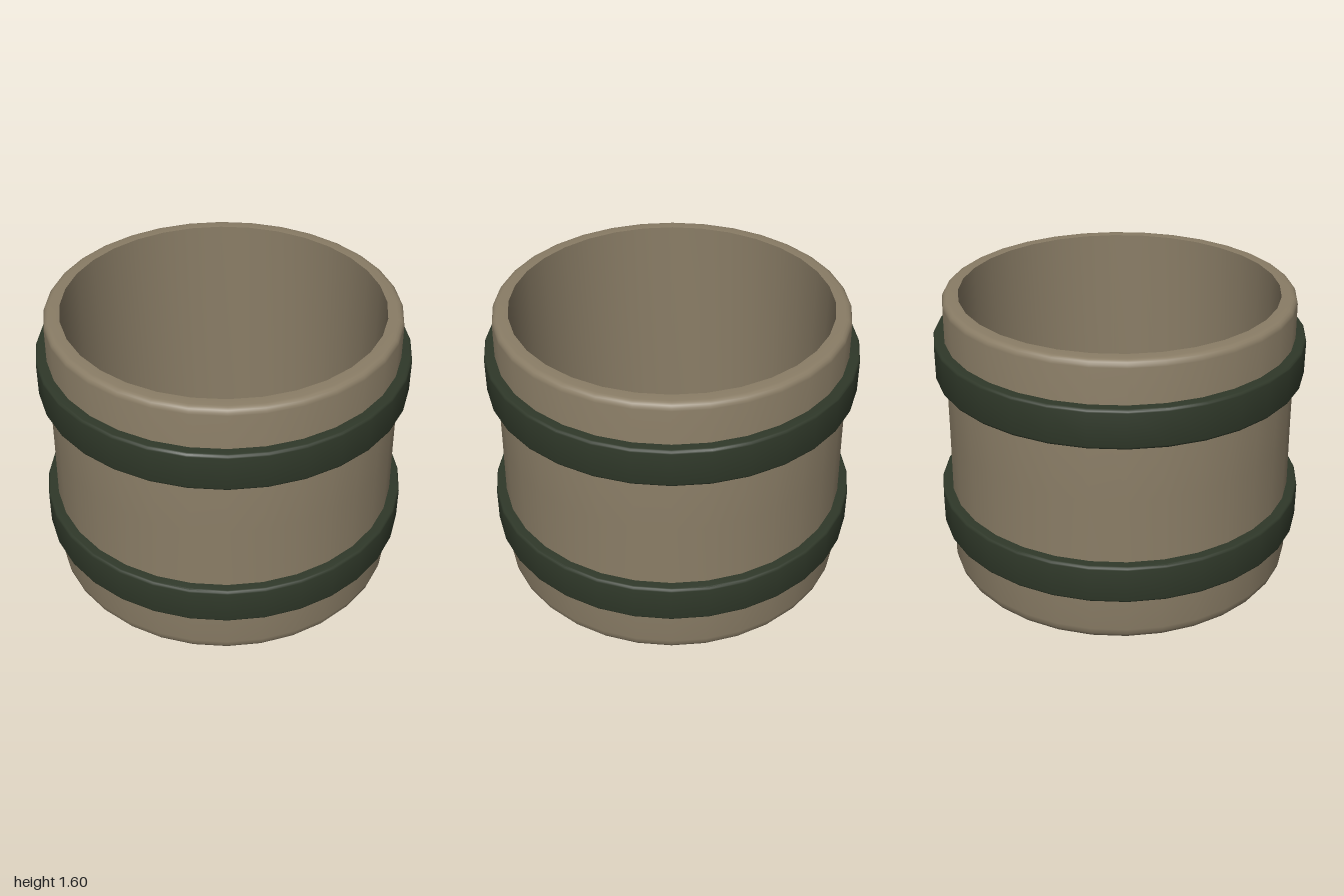
import * as THREE from 'three';
import { toCreasedNormals } from 'three/addons/utils/BufferGeometryUtils.js';

const SIDES = 32;

// Revolve an [radius, height] profile, listed counter-clockwise, around the y axis
function revolve(name, profile, color) {
  const points = profile.map(([r, y]) => new THREE.Vector2(r, y));
  const geometry = toCreasedNormals(new THREE.LatheGeometry(points, SIDES), 0.7);
  const mesh = new THREE.Mesh(geometry, new THREE.MeshStandardMaterial({ color }));
  mesh.name = name;
  return mesh;
}

// Quarter-round corner between two directions given as angles
function arc(cx, cy, radius, from, to, steps = 4) {
  return Array.from({ length: steps + 1 }, (_, i) => {
    const a = from + (to - from) * i / steps;
    return [cx + radius * Math.cos(a), cy + radius * Math.sin(a)];
  });
}

export function createModel() {
  const group = new THREE.Group();
  group.name = 'bandedTub';
  const q = Math.PI / 2;

  // Hollow, slightly tapered tub with rounded foot and rim
  group.add(revolve('tub', [
    [0, 0],
    ...arc(0.87, 0.08, 0.08, -q, 0),
    [0.945, 0.45],
    [0.94, 0.85],
    ...arc(0.9, 1.56, 0.035, 0, q),
    [0.85, 1.595],
    [0.845, 0.1],
    [0, 0.1],
  ], 0x8a7d66));

  // Two hoops with softly rounded edges
  const bevel = 0.015;
  const hoops = [['lowerHoop', 1.0, 0.285, 0.495], ['upperHoop', 0.993, 1.16, 1.37]];
  for (const [name, radius, bottom, top] of hoops) {
    group.add(revolve(name, [
      [0.92, bottom],
      ...arc(radius - bevel, bottom + bevel, bevel, -q, 0, 3),
      ...arc(radius - bevel, top - bevel, bevel, 0, q, 3),
      [0.92, top],
      [0.92, bottom],
    ], 0x2f3829));
  }
  return group;
}
